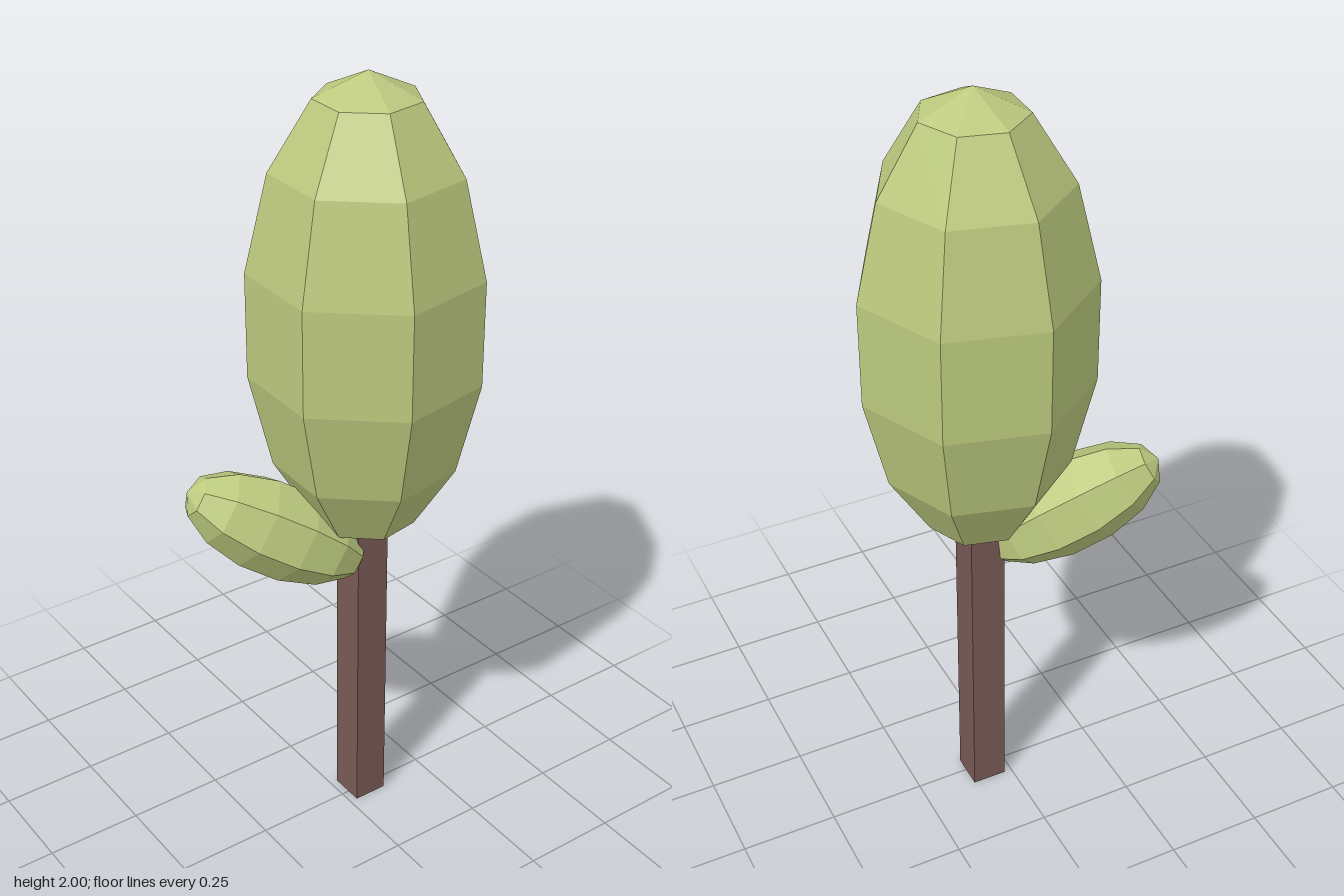
import * as THREE from 'three';

const leaf = new THREE.MeshStandardMaterial({ color: 0xbcc97e, flatShading: true });
const bark = new THREE.MeshStandardMaterial({ color: 0x795a55, flatShading: true });

// Seven-sided faceted foliage, stretched along its own axis
function foliage(name, radius, halfHeight, position) {
  const geometry = new THREE.SphereGeometry(1, 7, 7);
  geometry.scale(radius, halfHeight, radius);
  const mesh = new THREE.Mesh(geometry, leaf);
  mesh.name = name;
  mesh.position.set(...position);
  return mesh;
}

export function createModel() {
  const tree = new THREE.Group();
  tree.name = 'tree';

  // Square trunk, its top hidden inside the crown
  const trunk = new THREE.Mesh(new THREE.BoxGeometry(0.09, 0.9, 0.092), bark);
  trunk.name = 'trunk';
  trunk.position.set(0.066, 0.45, -0.008);

  // Tall upright crown
  const crown = foliage('crown', 0.29, 0.595, [0.068, 1.405, 0]);
  crown.rotation.y = 0.414;

  // Small side crown leaning out and slightly back
  const sideCrown = foliage('sideCrown', 0.122, 0.25, [-0.152, 0.875, -0.068]);
  sideCrown.rotation.set(0, 2.735, -1.03, 'YXZ');

  tree.add(trunk, crown, sideCrown);
  return tree;
}
